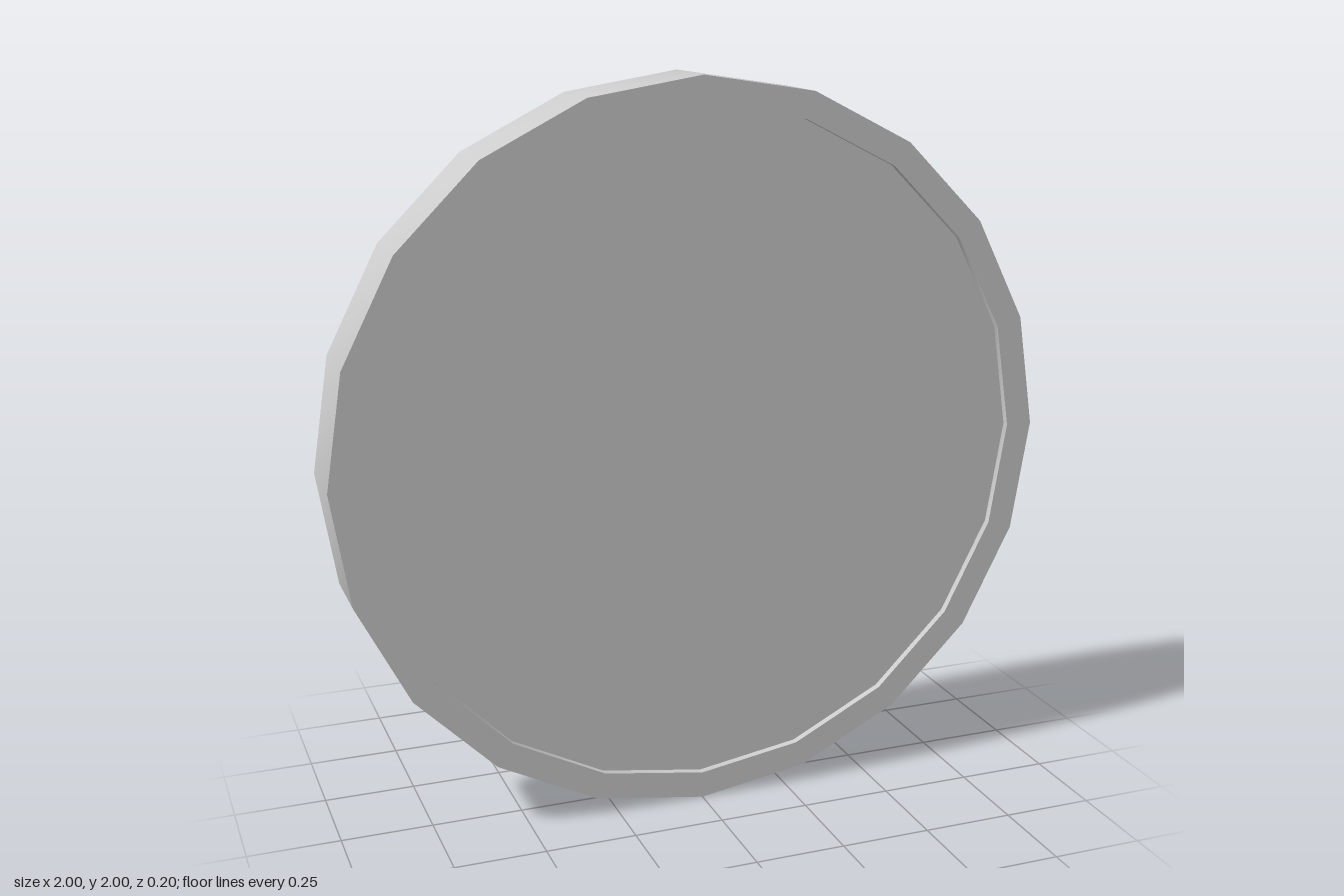
import * as THREE from 'three';
import { toCreasedNormals } from 'three/addons/utils/BufferGeometryUtils.js';

const SIDES = 20;
const HALF = 0.1;      // half thickness of the disc
const RECESS = 0.02;   // depth of each step
const LIP = 0.925;     // inner radius of the raised lip

const material = new THREE.MeshStandardMaterial({ color: 0xcccccc });

// Turns a [radius, z] profile, listed from back to front, about the z axis.
function turned(name, profile) {
  const points = profile.map(([r, z]) => new THREE.Vector2(r, z));
  const lathe = new THREE.LatheGeometry(points, SIDES).rotateX(Math.PI / 2);
  const mesh = new THREE.Mesh(toCreasedNormals(lathe, Math.PI / 6), material);
  mesh.name = name;
  mesh.position.y = 1;
  return mesh;
}

export function createModel() {
  const group = new THREE.Group();
  group.name = 'disc';
  const floor = HALF - RECESS;

  // Outer band with a narrow lip on both faces
  group.add(turned('rim', [
    [LIP, -floor], [LIP, -HALF], [1, -HALF], [1, HALF], [LIP, HALF], [LIP, floor],
  ]));

  // Plain sunken front face
  group.add(turned('frontPanel', [[LIP, floor], [0, floor]]));

  // Sunken back face with a second, slightly tapered recess in the middle
  group.add(turned('backPanel', [
    [0, -floor + RECESS], [0.626, -floor + RECESS], [0.636, -floor], [LIP, -floor],
  ]));

  return group;
}
